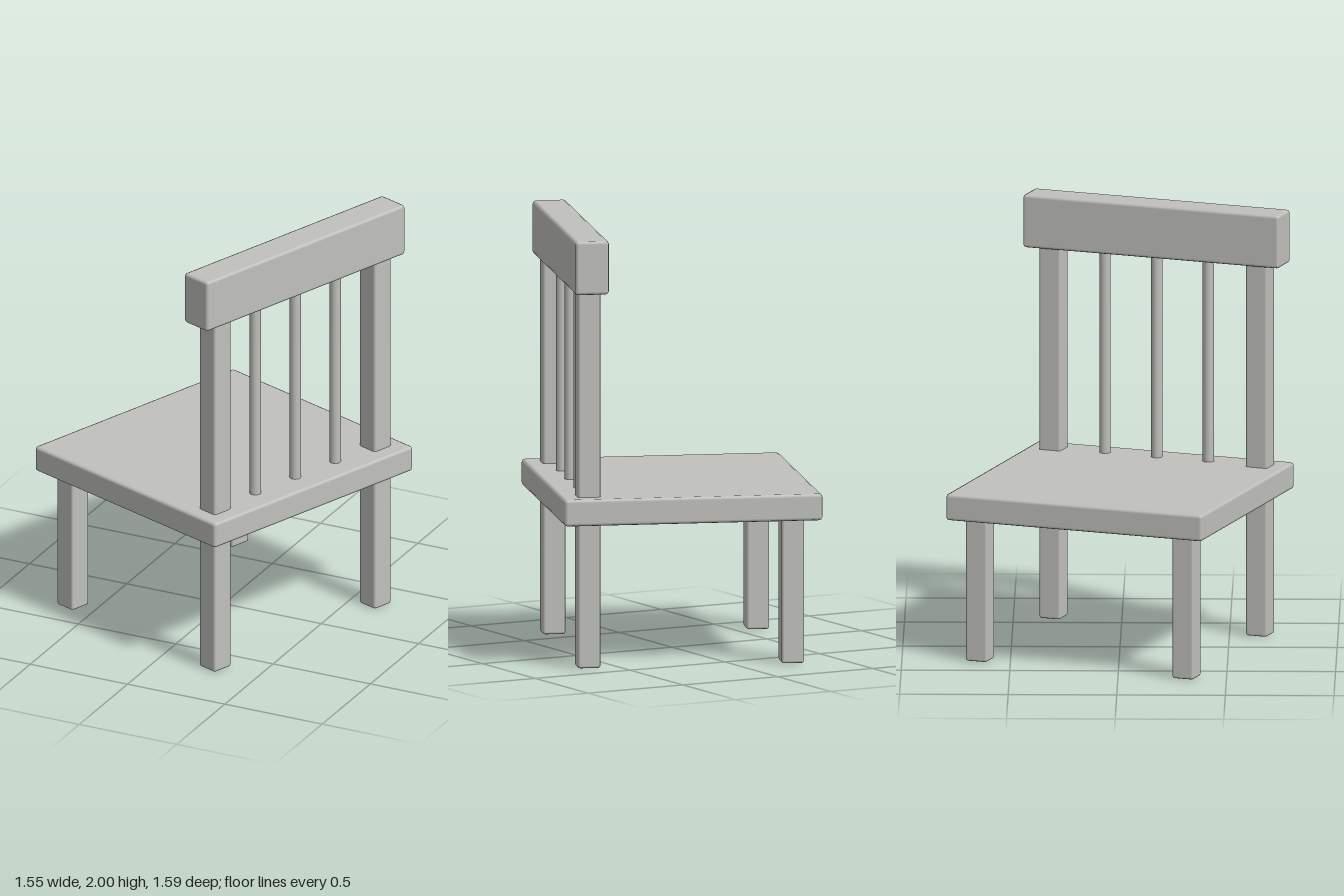
import * as THREE from 'three';
import { RoundedBoxGeometry } from 'three/addons/geometries/RoundedBoxGeometry.js';

export function createModel() {
  const model = new THREE.Group();
  model.name = 'chair';

  const paleGrey = new THREE.MeshStandardMaterial({ color: 0xc0c0bc });
  paleGrey.name = 'paleGrey';

  // The whole chair is turned about the upright axis; its back lies on local +x.
  const body = new THREE.Group();
  body.name = 'chairBody';
  body.rotation.y = THREE.MathUtils.degToRad(-20);
  model.add(body);

  function add(name, geometry, x, y, z) {
    const mesh = new THREE.Mesh(geometry, paleGrey);
    mesh.name = name;
    mesh.position.set(x, y, z);
    body.add(mesh);
  }

  // Softly bevelled block spanning the heights y0 to y1
  function block(name, width, depth, y0, y1, x, z, bevel) {
    const geometry = new RoundedBoxGeometry(width, y1 - y0, depth, 1, bevel);
    add(name, geometry, x, (y0 + y1) / 2, z);
  }

  const legX = 0.475;
  const legZ = 0.509;
  const legSize = 0.105;

  block('seat', 1.203, 1.264, 0.673, 0.797, 0, 0, 0.015);
  block('topRail', 0.157, 1.262, 1.75, 2, 0.472, 0, 0.015);

  // Short front legs, and back legs that run up to carry the top rail
  for (const side of [-1, 1]) {
    const label = side > 0 ? 'Left' : 'Right';
    block('frontLeg' + label, legSize, legSize, 0, 0.72, -legX, side * legZ, 0.011);
    block('backPost' + label, legSize, legSize, 0, 1.8, legX, side * legZ, 0.011);
  }

  // Three round spindles evenly spaced between the back posts
  for (let i = -1; i <= 1; i++) {
    const spindle = new THREE.CylinderGeometry(0.026, 0.026, 1.05, 16);
    add('spindle' + (i + 2), spindle, legX, 1.265, (i * legZ) / 2);
  }

  return model;
}
